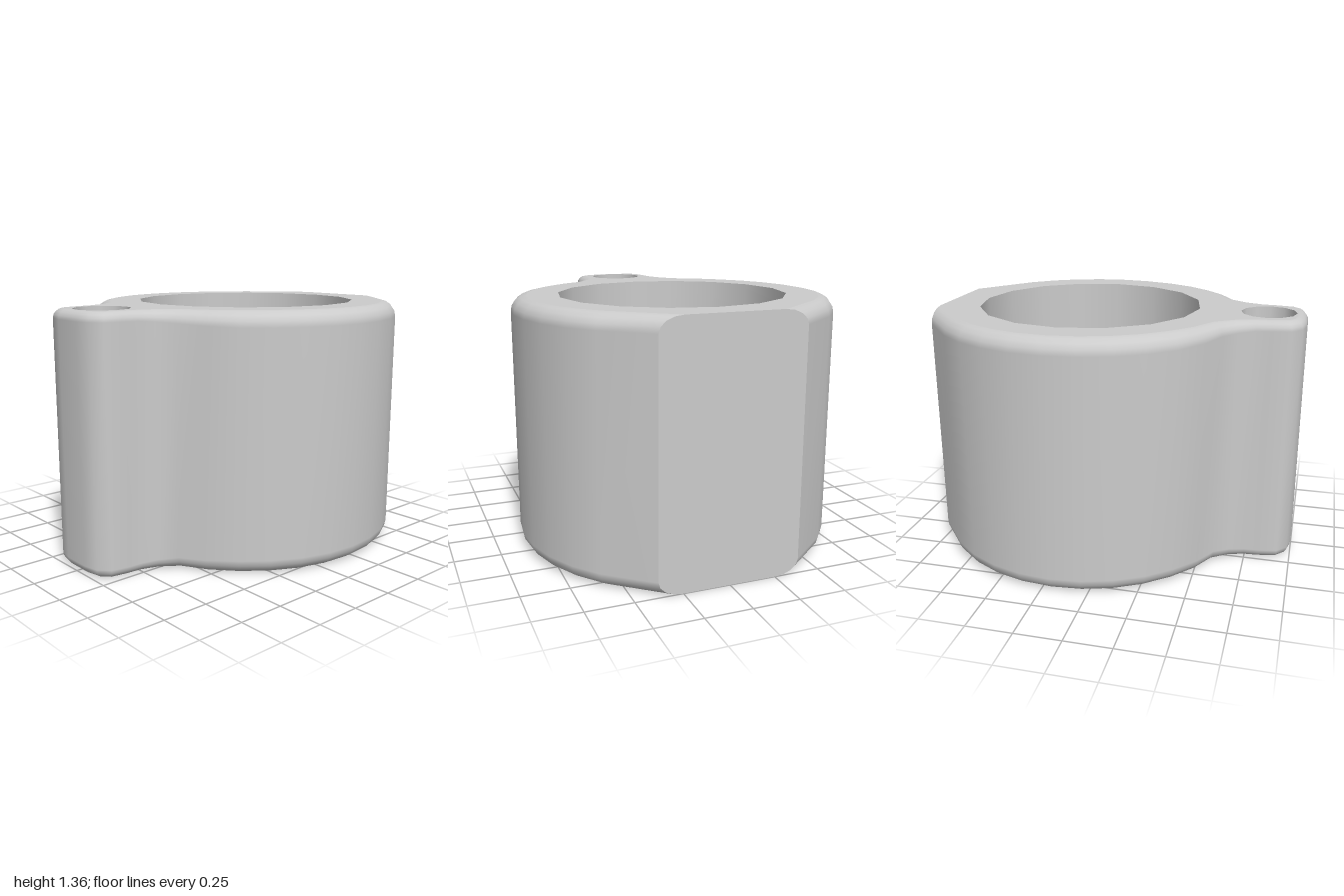
import * as THREE from 'three';

const HEIGHT = 1.36, RING_Z = -0.2, RING_R = 0.865, BACK_Z = -1;
const BORE = { z: RING_Z, r: 0.62, sides: 16 };
const PIN_HOLE = { z: 0.795, r: 0.15, sides: 12 };

// Plan outline as (x, z), from the back right corner round the front to the back left
function planOutline() {
  const half = [[0.38, BACK_Z]];
  for (let i = -4; i <= 5; i++) {
    const a = i * Math.PI / 16;
    half.push([RING_R * Math.cos(a), RING_Z + RING_R * Math.sin(a)]);
  }
  // neck and lug
  half.push([0.345, 0.59], [0.28, 0.67], [0.247, 0.75], [0.24, 0.83], [0.222, 0.93], [0.165, 0.982], [0.08, 1]);
  const mirrored = half.map(([x, z]) => [-x, z]).reverse();
  return [...half, ...mirrored].map(([x, z]) => new THREE.Vector2(x, z));
}

// Edge rounding is tighter on the lug than on the ring
const roundAt = (z) => THREE.MathUtils.lerp(0.08, 0.05, THREE.MathUtils.smoothstep(z, 0.4, 0.8));

// Outline moved inward by a fraction of the local rounding radius
function inset(outline, fraction) {
  const normal = (a, b) => new THREE.Vector2(b.y - a.y, a.x - b.x).normalize();
  return outline.map((p, i) => {
    const d = roundAt(p.y) * fraction;
    const prev = outline[i - 1], next = outline[i + 1];
    // ends slide along the flat back
    if (!prev || !next) return new THREE.Vector2(p.x - Math.sign(p.x) * d * 1.56, p.y);
    const n0 = normal(prev, p);
    const n = n0.clone().add(normal(p, next)).normalize();
    return p.clone().addScaledVector(n, -d / n.dot(n0));
  });
}

export function createModel() {
  const group = new THREE.Group();
  const material = new THREE.MeshStandardMaterial({ color: 0xcccccc });
  const add = (name, geometry) => {
    const mesh = new THREE.Mesh(geometry, material);
    mesh.name = name;
    group.add(mesh);
    return mesh;
  };

  const outline = planOutline();
  const n = outline.length;

  // Cross-sections from the bottom rounding to the top rounding
  const steps = 4, sections = [];
  for (const top of [false, true]) {
    for (let s = 0; s <= steps; s++) {
      const a = (top ? s : steps - s) / steps * Math.PI / 2;
      sections.push(inset(outline, 1 - Math.cos(a)).map((p, i) => {
        const y = roundAt(outline[i].y) * (1 - Math.sin(a));
        return new THREE.Vector3(p.x, top ? HEIGHT - y : y, p.y);
      }));
    }
  }

  // Outer wall with rounded rims
  const index = [];
  for (let s = 0; s < sections.length - 1; s++) {
    for (let i = 0; i < n - 1; i++) {
      const a = s * n + i, b = a + 1, c = a + n, d = c + 1;
      index.push(a, c, b, b, c, d);
    }
  }
  const wall = new THREE.BufferGeometry().setFromPoints(sections.flat());
  wall.setIndex(index);
  wall.computeVertexNormals();
  add('outerWall', wall);

  // Flat back
  const right = sections.map((s) => new THREE.Vector2(s[0].x, s[0].y));
  const left = sections.map((s) => new THREE.Vector2(s[n - 1].x, s[n - 1].y)).reverse();
  const back = new THREE.ShapeGeometry(new THREE.Shape([...right, ...left]));
  back.rotateY(Math.PI);
  add('flatBack', back).position.z = BACK_Z;

  // End faces, pierced by both holes
  const face = new THREE.Shape(inset(outline, 1));
  for (const { z, r, sides } of [BORE, PIN_HOLE]) {
    const points = [];
    for (let i = 0; i < sides; i++) {
      const a = i / sides * Math.PI * 2;
      points.push(new THREE.Vector2(r * Math.sin(a), z + r * Math.cos(a)));
    }
    face.holes.push(new THREE.Path(points));
  }
  const bottom = new THREE.ShapeGeometry(face).rotateX(Math.PI / 2);
  add('bottomFace', bottom);
  add('topFace', bottom.clone().rotateZ(Math.PI)).position.y = HEIGHT;

  // Hole linings, facing inward
  for (const [name, { z, r, sides }] of [['mainBore', BORE], ['lugHole', PIN_HOLE]]) {
    const profile = [new THREE.Vector2(r, HEIGHT), new THREE.Vector2(r, 0)];
    add(name, new THREE.LatheGeometry(profile, sides)).position.z = z;
  }

  return group;
}
